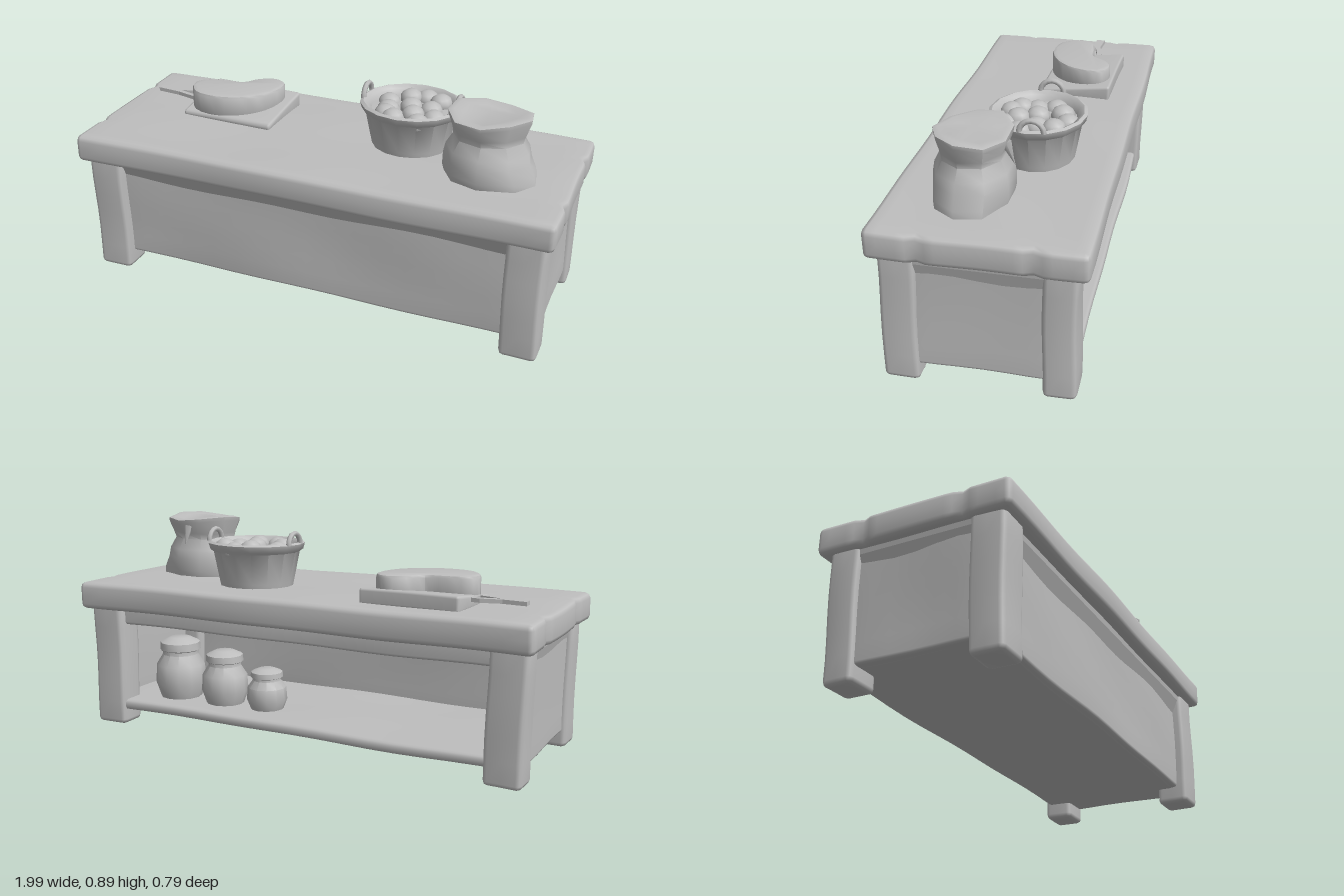
import * as THREE from 'three';
import { mergeVertices, toCreasedNormals } from 'three/addons/utils/BufferGeometryUtils.js';

const clay = new THREE.MeshStandardMaterial({ color: 0xbebebe });
clay.name = 'clay grey';

// low-frequency wobble that gives worn, hand-cut surfaces
const wobble = (a, b, k) => Math.sin(a * 9 + k) * 0.5 + Math.sin(b * 13 + a * 5 + k * 2) * 0.5;

function deform(geo, rule) {
  const p = geo.attributes.position, v = new THREE.Vector3();
  for (let i = 0; i < p.count; i++) {
    v.fromBufferAttribute(p, i);
    rule(v);
    p.setXYZ(i, v.x, v.y, v.z);
  }
  return geo;
}

function smooth(geo) {
  geo.deleteAttribute('normal');
  geo.deleteAttribute('uv');
  const g = mergeVertices(geo, 1e-4);
  g.computeVertexNormals();
  return g;
}

function add(parent, name, geo) {
  const m = new THREE.Mesh(geo, clay);
  m.name = name;
  parent.add(m);
  return m;
}

// box between two corners with rounded edges and an uneven surface
function roughBox(lo, hi, segs, r, rough = 0.005, extra = null) {
  const c = lo.map((l, i) => (l + hi[i]) / 2), h = lo.map((l, i) => (hi[i] - l) / 2);
  const geo = new THREE.BoxGeometry(h[0] * 2, h[1] * 2, h[2] * 2, ...segs);
  deform(geo, v => {
    const inner = new THREE.Vector3(), a = v.toArray();
    const q = a.map((x, i) => Math.abs(x) > h[i] - 1e-5 ? x : x * (h[i] - r) / (h[i] - 2 * h[i] / segs[i]));
    inner.fromArray(q.map((x, i) => THREE.MathUtils.clamp(x, r - h[i], h[i] - r)));
    v.fromArray(q).sub(inner).setLength(r).add(inner);
    v.add(new THREE.Vector3(...c));
    const { x, y, z } = v;
    v.x += rough * wobble(y, z, 1 + c[0]);
    v.y += rough * wobble(x, z, 2) * 0.6;
    v.z += rough * wobble(x, y, 3 + c[2]);
    if (extra) extra(v);
  });
  return smooth(geo);
}

function lathe(points, sides) {
  return new THREE.LatheGeometry(points.map(p => new THREE.Vector2(...p)), sides);
}

// sloped rail of given length, facing +z
function wedge(length, depth) {
  const s = new THREE.Shape([[0, 0.43], [0, 0.52], [-depth, 0.52], [-depth * 0.85, 0.49]].map(p => new THREE.Vector2(...p)));
  const g = new THREE.ExtrudeGeometry(s, { depth: length, bevelEnabled: false });
  return g.translate(0, 0, -length / 2).rotateY(Math.PI / 2);
}

function buildTable(table) {
  // worktop with small notches where the planks meet at the ends
  add(table, 'worktop', roughBox([-0.995, 0.51, -0.39], [0.993, 0.623, 0.393], [24, 4, 24], 0.022, 0.004, v => {
    if (Math.abs(v.x) > 0.95) v.x -= Math.sign(v.x) * 0.014 * Math.exp(-(((Math.abs(v.z) - 0.2) / 0.02) ** 2));
  }));
  for (const s of [-1, 1]) {
    const xs = s < 0 ? [-0.963, -0.815] : [0.815, 0.963];
    // legs lean in a little towards the foot
    const legShape = v => { v.x -= s * 0.012 * Math.max(0, 0.4 - v.y); };
    add(table, 'frontLeg', roughBox([xs[0], 0.003, 0.222], [xs[1], 0.53, 0.357], [4, 8, 4], 0.02, 0.005, legShape));
    add(table, 'backLeg', roughBox([xs[0], 0.003, -0.346], [xs[1], 0.53, -0.222], [4, 8, 4], 0.02, 0.005, legShape));
    const ps = s < 0 ? [-0.943, -0.893] : [0.893, 0.943];
    add(table, 'endPanel', roughBox([ps[0], 0.068, -0.27], [ps[1], 0.53, 0.27], [3, 8, 8], 0.012));
    // small sloped rail below the end of the worktop
    const rail = add(table, 'endRail', wedge(0.46, 0.02));
    rail.position.x = s * 0.938;
    rail.rotation.y = s * Math.PI / 2;
  }
  add(table, 'frontPanel', roughBox([-0.86, 0.07, 0.262], [0.86, 0.53, 0.315], [18, 8, 3], 0.014));
  add(table, 'frontRail', wedge(1.66, 0.03)).position.z = 0.312;
  add(table, 'backRail', roughBox([-0.86, 0.44, -0.31], [0.86, 0.53, -0.26], [18, 4, 3], 0.012));
  add(table, 'shelf', roughBox([-0.92, 0.068, -0.33], [0.92, 0.112, 0.3], [18, 3, 8], 0.015));
}

function buildSack(parent) {
  const sack = new THREE.Group();
  sack.name = 'sack';
  sack.position.set(0.658, 0, 0.08);
  parent.add(sack);
  const body = lathe([[0, 0.615], [0.142, 0.615], [0.15, 0.65], [0.149, 0.7], [0.142, 0.74], [0.119, 0.785],
    [0.124, 0.81], [0.141, 0.86], [0.142, 0.875], [0.122, 0.88], [0.09, 0.87], [0, 0.88]], 9);
  deform(body, v => {
    const a = Math.atan2(v.z, v.x);
    const k = 1 + 0.04 * Math.cos(a * 3 + 1) * (v.y > 0.8 ? 1 : 0.4);
    v.x *= 1.16 * k;
    v.z *= k;
    // the filled base slumps outward on one side
    if (v.y < 0.7 && v.x > 0.1) v.x += 0.035 * (0.7 - v.y) / 0.085;
    if (v.y > 0.82) v.y += 0.01 * Math.sin(a * 2 + 0.6);
  });
  add(sack, 'sackBody', toCreasedNormals(smooth(body), 0.85));
  // loose corner of cloth hanging from the neck
  const flap = add(sack, 'sackFlap', new THREE.ConeGeometry(0.02, 0.09, 5));
  flap.position.set(0.01, 0.8, -0.135);
  flap.rotation.x = Math.PI + 0.35;
}

function buildBasket(parent) {
  const basket = new THREE.Group();
  basket.name = 'basket';
  basket.position.set(0.3, 0, -0.075);
  parent.add(basket);
  const bowl = lathe([[0, 0.615], [0.147, 0.615], [0.152, 0.64], [0.176, 0.765], [0.19, 0.775], [0.197, 0.8],
    [0.184, 0.806], [0.165, 0.795], [0.155, 0.77], [0, 0.77]], 16);
  deform(bowl, v => { v.x *= 1.06; v.z *= 0.96; });
  add(basket, 'basketBowl', toCreasedNormals(smooth(bowl), 0.8));
  for (const s of [-1, 1]) {
    const handle = add(basket, 'basketHandle', new THREE.TorusGeometry(0.046, 0.011, 6, 8, Math.PI));
    handle.position.set(s * 0.193, 0.8, -0.015);
    handle.rotation.y = Math.PI / 2;
  }
  // heaped round fruit
  const fruits = [[0, 0.0], [0.08, -0.01], [-0.09, 0.02], [-0.03, -0.09], [0.03, -0.12], [0.11, 0.05],
    [0.03, 0.07], [-0.04, 0.11], [-0.11, -0.05], [0.1, -0.08], [-0.08, 0.08], [0.06, 0.11]];
  fruits.forEach(([x, z], i) => {
    const f = add(basket, 'fruit', new THREE.SphereGeometry(0.047, 10, 7));
    f.scale.y = 0.85;
    f.position.set(x, 0.778 - 0.008 * (i % 3), z);
  });
}

function buildBoard(parent) {
  const board = new THREE.Group();
  board.name = 'cuttingBoard';
  parent.add(board);
  // worn board, lower along its front edge
  const slab = add(board, 'boardSlab', roughBox([-0.205, 0.613, -0.152], [0.205, 0.68, 0.152], [6, 3, 6], 0.012, 0.004, v => {
    if (v.y > 0.63) v.y -= 0.035 * (v.z + 0.152) / 0.304;
  }));
  slab.position.set(-0.482, 0, -0.118);
  slab.rotation.y = -0.04;
  // bean-shaped cut of meat, drawn in x and -z
  const outline = new THREE.CatmullRomCurve3([[-0.69, 0.08], [-0.66, 0.13], [-0.58, 0.15], [-0.5, 0.16], [-0.45, 0.22],
    [-0.38, 0.25], [-0.325, 0.22], [-0.315, 0.16], [-0.35, 0.07], [-0.43, 0.0], [-0.53, -0.03], [-0.64, -0.01]]
    .map(([x, y]) => new THREE.Vector3(x, y, 0)), true);
  const shape = new THREE.Shape(outline.getPoints(36).slice(0, -1).map(p => new THREE.Vector2(p.x, p.y)));
  const meat = new THREE.ExtrudeGeometry(shape, { depth: 0.074, bevelThickness: 0.012, bevelSize: 0.014, bevelOffset: -0.014, bevelSegments: 2 });
  add(board, 'meat', toCreasedNormals(meat.rotateX(-Math.PI / 2).translate(0, 0.647, 0), 0.6));
  // forked handle resting beside the board
  const fork = new THREE.Shape([[-0.895, 0.115], [-0.79, 0.105], [-0.69, 0.08], [-0.66, 0.08], [-0.66, 0.16],
    [-0.72, 0.165], [-0.8, 0.145], [-0.895, 0.152]].map(p => new THREE.Vector2(...p)));
  fork.holes.push(new THREE.Path([[-0.79, 0.125], [-0.7, 0.145], [-0.7, 0.1]].map(p => new THREE.Vector2(...p))));
  const forkGeo = new THREE.ExtrudeGeometry(fork, { depth: 0.016, bevelEnabled: false });
  add(board, 'utensilHandle', forkGeo.rotateX(-Math.PI / 2).translate(0, 0.643, 0));
}

function buildJars(parent) {
  // storage jars on the open back shelf: x, height, radius
  for (const [x, h, r] of [[0.65, 0.265, 0.11], [0.42, 0.23, 0.1], [0.21, 0.175, 0.085]]) {
    const jar = lathe([[0, 0], [r * 0.8, 0], [r, h * 0.25], [r * 0.95, h * 0.55], [r * 0.7, h * 0.72],
      [r * 0.7, h * 0.78], [r * 0.8, h * 0.8], [r * 0.78, h * 0.92], [r * 0.4, h], [0, h]], 12);
    add(parent, 'jar', toCreasedNormals(jar, 0.7)).position.set(x, 0.108, -0.15);
  }
}

export function createModel() {
  const model = new THREE.Group();
  model.name = 'marketCounter';
  buildTable(model);
  buildSack(model);
  buildBasket(model);
  buildBoard(model);
  buildJars(model);
  return model;
}
